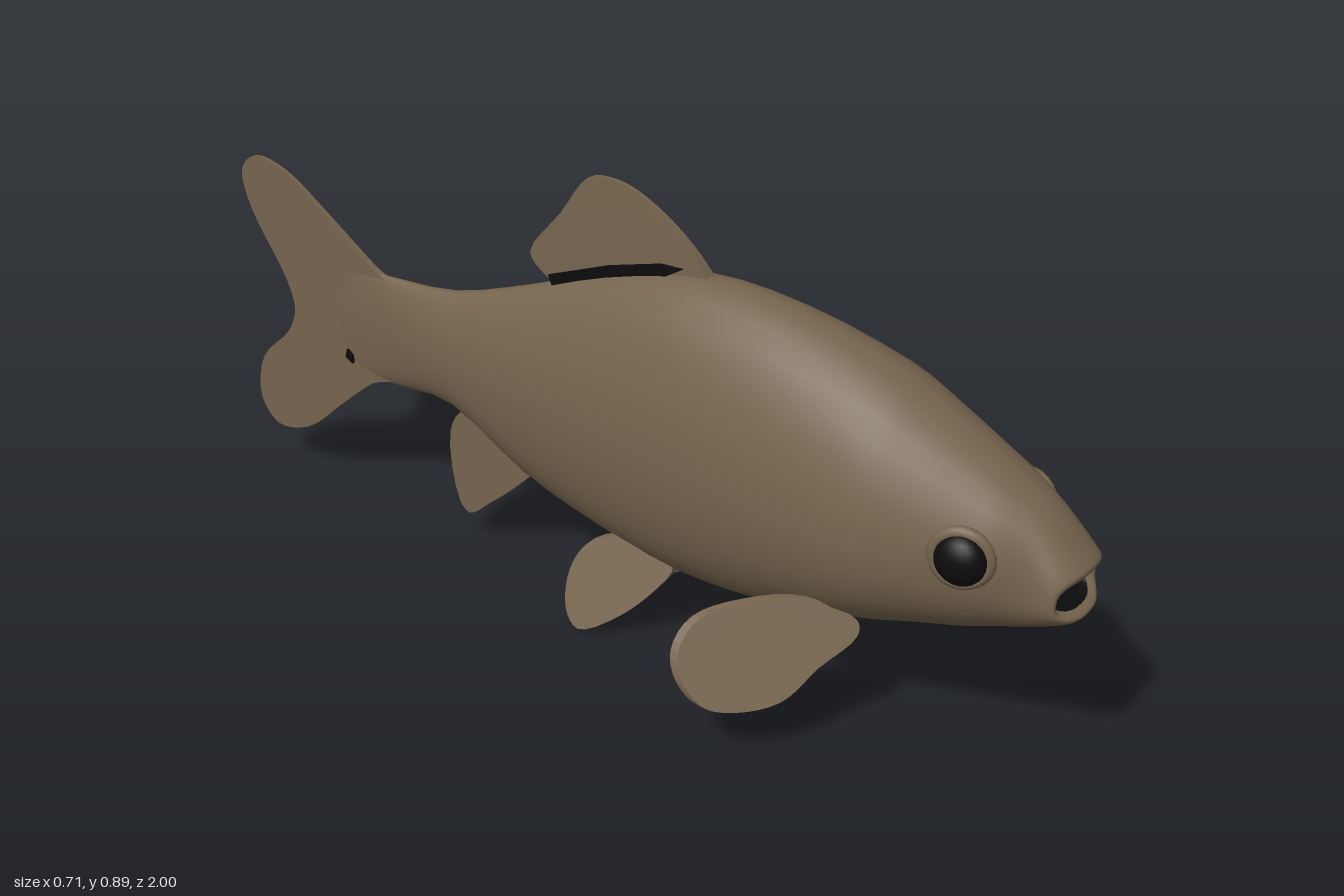
import * as THREE from 'three';

const skin = new THREE.MeshStandardMaterial({ color: 0x75644d, side: THREE.DoubleSide });
skin.name = 'brownSkin';
const dark = new THREE.MeshStandardMaterial({ color: 0x0c0c0c, side: THREE.DoubleSide });
dark.name = 'darkEyeAndMouth';

function mesh(name, geometry, material) {
  const m = new THREE.Mesh(geometry, material);
  m.name = name;
  return m;
}

// Loft along z. Station: [z, top, bottom, halfWidth, heightOfWidest, roundness]
function loft(stations, perSpan, sides) {
  const heights = new THREE.CatmullRomCurve3(stations.map(s => new THREE.Vector3(s[0], s[1], s[2])), false, 'catmullrom', 0.5);
  const widths = new THREE.CatmullRomCurve3(stations.map(s => new THREE.Vector3(s[3], s[4], s[5])), false, 'catmullrom', 0.5);
  const rows = (stations.length - 1) * perSpan;
  const pos = [], index = [];
  const power = (v, p) => Math.sign(v) * Math.pow(Math.abs(v), p);
  for (let i = 0; i <= rows; i++) {
    const h = heights.getPoint(i / rows), w = widths.getPoint(i / rows);
    for (let j = 0; j < sides; j++) {
      const a = j / sides * Math.PI * 2, c = Math.cos(a), s = Math.sin(a);
      const ry = s > 0 ? h.y - w.y : w.y - h.z;
      // The corners of the mouth sit a little further back
      const notch = Math.max(0, h.x - 0.92) * 0.35 * c * c;
      pos.push(Math.max(w.x, 0) * power(c, w.z), w.y + ry * power(s, w.z), h.x - notch);
      if (i < rows) {
        const k = (j + 1) % sides, p = i * sides, q = p + sides;
        index.push(p + j, q + j, p + k, p + k, q + j, q + k);
      }
    }
  }
  const g = new THREE.BufferGeometry();
  g.setAttribute('position', new THREE.Float32BufferAttribute(pos, 3));
  g.setIndex(index);
  g.computeVertexNormals();
  return g;
}

// Thin fin: a smooth outline extruded, then placed point by point with a rule
function fin(name, outline, thickness, place, material = skin, smooth = true) {
  let pts = outline.map(p => new THREE.Vector2(p[0], p[1]));
  if (smooth) {
    const curve = new THREE.CatmullRomCurve3(pts.map(p => new THREE.Vector3(p.x, p.y, 0)), true);
    pts = curve.getPoints(outline.length * 4).slice(0, -1).map(p => new THREE.Vector2(p.x, p.y));
  }
  const g = new THREE.ExtrudeGeometry(new THREE.Shape(pts), { depth: thickness, bevelEnabled: false, steps: 1 });
  g.translate(0, 0, -thickness / 2);
  const p = g.attributes.position;
  for (let i = 0; i < p.count; i++) p.setXYZ(i, ...place(p.getX(i), p.getY(i), p.getZ(i)));
  g.computeVertexNormals();
  return mesh(name, g, material);
}

function pair(group, name, build) {
  for (const side of [1, -1]) {
    const part = build();
    part.name = (side > 0 ? 'left' : 'right') + name;
    part.scale.x *= side;
    part.position.x *= side;
    group.add(part);
  }
}

export function createModel() {
  const fish = new THREE.Group();
  fish.name = 'fish';

  // Body from lips to tail root
  fish.add(mesh('body', loft([
    [0.985, 0.42, 0.365, 0.062, 0.385, 0.75],
    [1.0, 0.44, 0.355, 0.076, 0.39, 0.75],
    [0.985, 0.46, 0.34, 0.085, 0.39, 0.78],
    [0.92, 0.525, 0.308, 0.088, 0.40, 0.85],
    [0.86, 0.565, 0.285, 0.115, 0.42, 0.95],
    [0.8, 0.60, 0.262, 0.134, 0.42, 1],
    [0.7, 0.653, 0.235, 0.16, 0.42, 1],
    [0.6, 0.70, 0.205, 0.176, 0.42, 1],
    [0.4, 0.752, 0.16, 0.17, 0.42, 1],
    [0.2, 0.762, 0.145, 0.152, 0.43, 1],
    [0, 0.715, 0.172, 0.124, 0.43, 1],
    [-0.2, 0.638, 0.222, 0.088, 0.43, 1],
    [-0.4, 0.572, 0.315, 0.052, 0.43, 1],
    [-0.58, 0.558, 0.31, 0.024, 0.43, 1],
    [-0.7, 0.55, 0.32, 0.01, 0.43, 1],
    [-0.76, 0.43, 0.43, 0, 0.43, 1],
  ], 3, 32), skin));

  // Dark mouth cavity
  fish.add(mesh('mouth', loft([
    [0.985, 0.42, 0.365, 0.062, 0.385, 0.75],
    [0.96, 0.415, 0.368, 0.058, 0.387, 0.75],
    [0.945, 0.39, 0.39, 0, 0.39, 0.75],
  ], 1, 32), dark));

  // Eyes and the skin fold around each
  pair(fish, 'Eye', () => {
    const eye = mesh('eye', new THREE.SphereGeometry(0.048, 20, 14), dark);
    eye.scale.x = 0.7;
    eye.position.set(0.131, 0.455, 0.82);
    return eye;
  });
  pair(fish, 'Eyelid', () => {
    const lid = mesh('eyelid', new THREE.TorusGeometry(0.048, 0.012, 8, 24).rotateY(Math.PI / 2 - 0.25), skin);
    lid.position.set(0.127, 0.455, 0.82);
    return lid;
  });

  // Fins on the centre plane, outlined in (z, y)
  const upright = (u, v, w) => [-w, v, u];
  fish.add(fin('tailFin', [
    [-0.56, 0.53], [-0.62, 0.565], [-0.745, 0.65], [-0.87, 0.727], [-0.955, 0.74], [-0.998, 0.7],
    [-0.98, 0.62], [-0.885, 0.475], [-0.865, 0.41], [-0.89, 0.35], [-0.98, 0.26], [-0.998, 0.155],
    [-0.95, 0.103], [-0.85, 0.125], [-0.745, 0.21], [-0.64, 0.295], [-0.56, 0.335],
  ], 0.016, (u, v, w) => [-w * (1 + (u + 0.6) * 1.8), v, u]));
  fish.add(fin('dorsalFin', [
    [0.23, 0.74], [0.21, 0.775], [0.14, 0.84], [0.05, 0.89], [-0.01, 0.9], [-0.055, 0.89],
    [-0.115, 0.81], [-0.187, 0.715], [-0.165, 0.685], [-0.1, 0.66], [0.05, 0.68],
  ], 0.03, (u, v, w) => [-w * Math.min(1, 0.25 + (0.9 - v) * 4), v, u]));
  fish.add(fin('dorsalBase', [
    [0.17, 0.768], [0.12, 0.766], [0, 0.733], [-0.14, 0.68], [-0.13, 0.658], [0, 0.7], [0.12, 0.738],
  ], 0.04, upright, dark, false));
  fish.add(fin('analFin', [
    [-0.19, 0.24], [-0.23, 0.19], [-0.32, 0.11], [-0.375, 0.07], [-0.4, 0.09],
    [-0.42, 0.25], [-0.38, 0.31], [-0.28, 0.30],
  ], 0.014, upright));
  fish.add(fin('tailSpot', [[-0.69, 0.33], [-0.69, 0.35], [-0.705, 0.36], [-0.71, 0.34]], 0.026, upright, dark, false));

  // Pelvic fins spread outwards below the belly
  pair(fish, 'PelvicFin', () => fin('pelvicFin', [
    [0.19, 0.17], [0.165, 0.12], [0.1, 0.05], [0.02, 0.005], [-0.015, 0.035],
    [-0.026, 0.11], [0.005, 0.17], [0.1, 0.2],
  ], 0.016, (u, v, w) => [-w + 0.062 + (0.17 - v) * 0.4 + (0.08 - u) * 0.1, v, u]));

  // Pectoral fins swept out and back, outlined in (x, y)
  pair(fish, 'PectoralFin', () => fin('pectoralFin', [
    [0.1, 0.24], [0.14, 0.278], [0.22, 0.28], [0.29, 0.26], [0.34, 0.21], [0.355, 0.16],
    [0.345, 0.122], [0.31, 0.112], [0.25, 0.122], [0.18, 0.17], [0.11, 0.215],
  ], 0.016, (u, v, w) => [u, v, w + 0.59 - 1.0 * (u - 0.12) - 0.78 * (v - 0.24)]));

  return fish;
}
